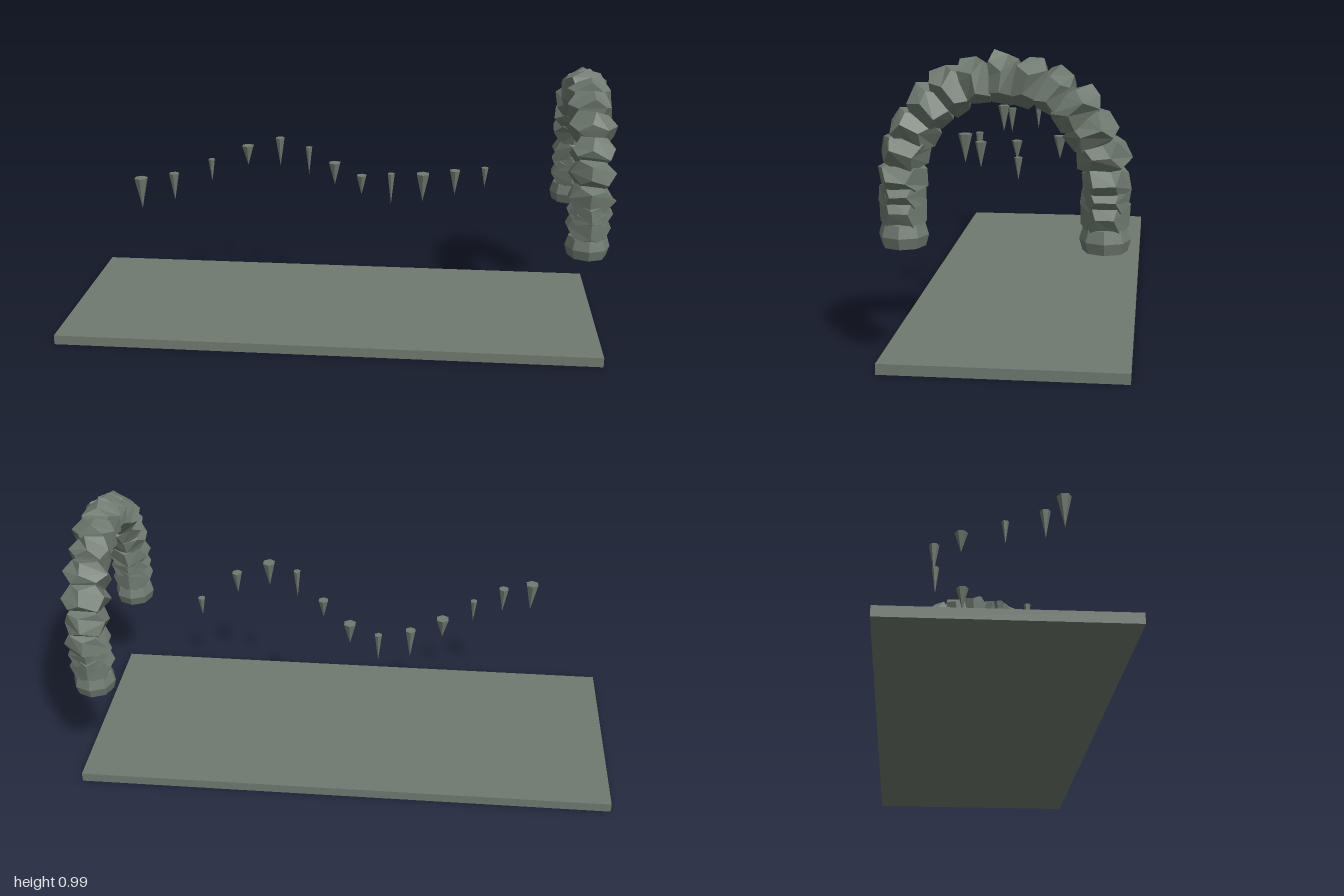
import * as THREE from 'three';

const ARCH_X = 0.897, ARCH_Y = 0.6, ARCH_R = 0.304;

// Repeatable offset in -1..1 for a corner, so that shared corners stay joined
function wobble(x, y, z, seed) {
  const s = Math.sin(Math.round(x * 100) * 12.99 + Math.round(y * 100) * 78.23
    + Math.round(z * 100) * 37.72 + seed * 19.19) * 43758.5453;
  return (s - Math.floor(s)) * 2 - 1;
}

// Irregular faceted stone with local y along the arch and z across it
function stoneGeometry(seed, sx, sy, sz, amount = 0.1) {
  const geo = new THREE.DodecahedronGeometry(1);
  const p = geo.attributes.position;
  for (let i = 0; i < p.count; i++) {
    const x = p.getX(i), y = p.getY(i), z = p.getZ(i);
    p.setXYZ(i,
      (x + amount * wobble(x, y, z, seed)) * sx,
      (y + amount * wobble(x, y, z, seed + 31)) * sy,
      (z + amount * wobble(x, y, z, seed + 67)) * sz);
  }
  geo.computeVertexNormals();
  return geo;
}

export function createModel() {
  const group = new THREE.Group();
  const stone = new THREE.MeshStandardMaterial({ color: 0x6f7a70, flatShading: true });
  stone.name = 'grey green stone';

  function add(parent, name, geo, x, y, z) {
    const mesh = new THREE.Mesh(geo, stone);
    mesh.name = name;
    mesh.position.set(x, y, z);
    parent.add(mesh);
    return mesh;
  }

  // Floor
  add(group, 'floorSlab', new THREE.BoxGeometry(1.975, 0.035, 0.775), -0.0125, 0.0175, -0.002);

  // Arch of stacked stones
  const arch = new THREE.Group();
  arch.name = 'stoneArch';
  group.add(arch);
  for (let i = 0; i <= 12; i++) {
    const a = (i - 6) * Math.PI / 12;
    const size = i > 0 && i < 4 ? 1.06 : 1;
    const geo = stoneGeometry(i + 1, 0.083, 0.068 * size, 0.08 * size);
    const mesh = add(arch, 'archStone', geo, ARCH_X,
      ARCH_Y + ARCH_R * Math.cos(a), ARCH_R * Math.sin(a));
    mesh.rotation.x = a - Math.PI / 2;
  }

  // Legs, each ending in a flat-bottomed foot
  const footProfile = [[0, 0.39], [0.067, 0.39], [0.077, 0.425], [0.066, 0.462], [0, 0.475]]
    .map(([r, y]) => new THREE.Vector2(r, y));
  for (const side of [-1, 1]) {
    add(arch, 'legStone', stoneGeometry(20 + side, 0.08, 0.062, 0.078, 0.05), ARCH_X, 0.55, side * ARCH_R);
    add(arch, 'legStone', stoneGeometry(25 + side, 0.08, 0.088, 0.078, 0.03), ARCH_X, 0.5, side * ARCH_R);
    add(arch, 'footStone', new THREE.LatheGeometry(footProfile, 8), ARCH_X, 0, side * ARCH_R);
  }

  // Hanging spikes: x, z, radius, top, tip
  const spikes = [
    [-0.69, 0.21, 0.025, 0.592, 0.477], [-0.58, 0.16, 0.019, 0.597, 0.495],
    [-0.465, 0.035, 0.013, 0.617, 0.53], [-0.352, -0.112, 0.024, 0.63, 0.553],
    [-0.24, -0.205, 0.019, 0.638, 0.525], [-0.126, -0.197, 0.014, 0.605, 0.497],
    [-0.015, -0.092, 0.024, 0.577, 0.49], [0.098, 0.056, 0.02, 0.576, 0.502],
    [0.212, 0.177, 0.014, 0.624, 0.508], [0.325, 0.21, 0.025, 0.637, 0.535],
    [0.438, 0.138, 0.02, 0.63, 0.54], [0.55, -0.003, 0.014, 0.6, 0.525],
  ];
  for (const [x, z, r, top, tip] of spikes) {
    const geo = new THREE.ConeGeometry(r, top - tip, 6).rotateX(Math.PI);
    add(group, 'hangingSpike', geo, x, (top + tip) / 2, z);
  }

  return group;
}
